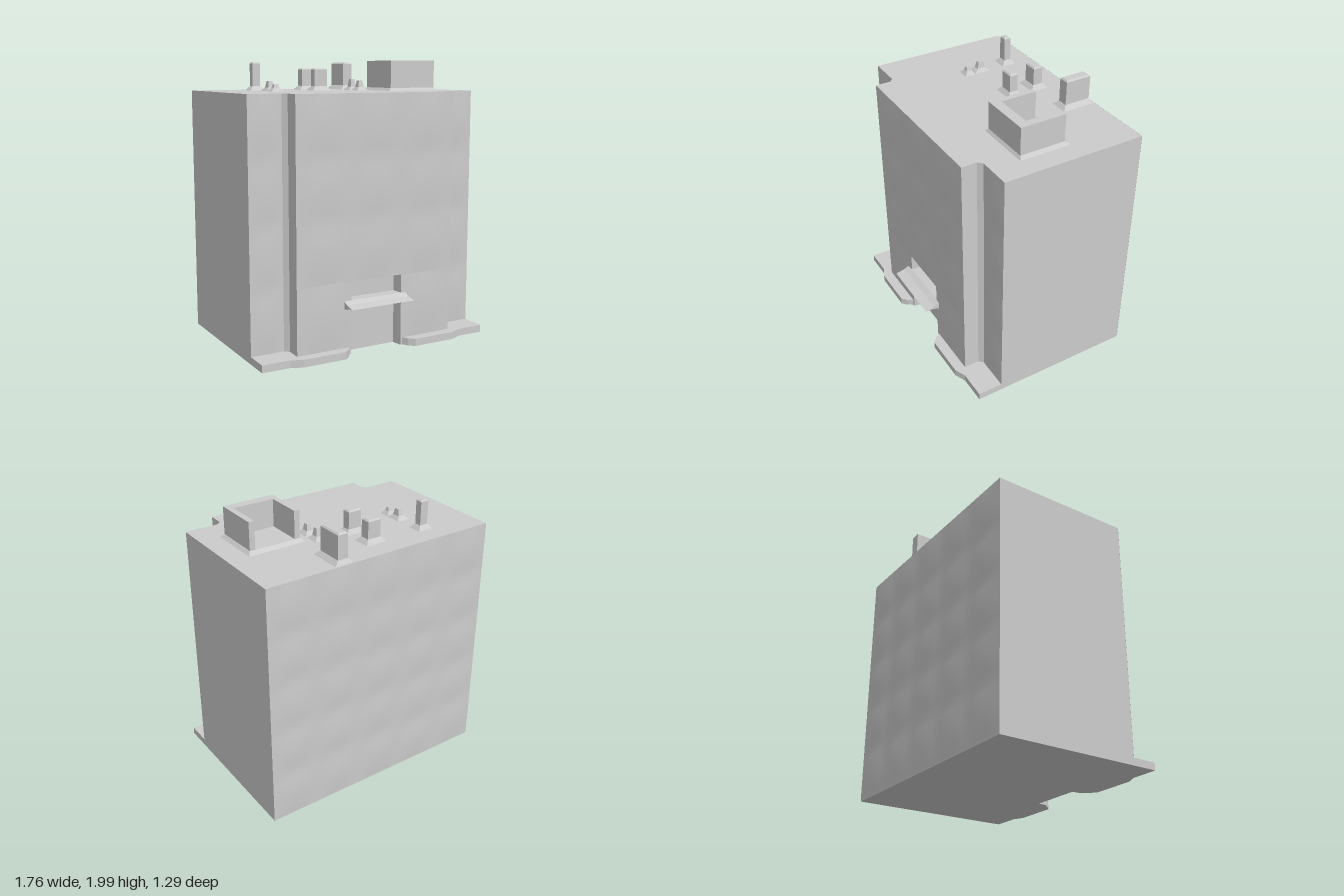
import * as THREE from 'three';

const ROOF = 1.78;

export function createModel() {
  const model = new THREE.Group();
  const grey = new THREE.MeshStandardMaterial({ color: 0xcccccc, side: THREE.DoubleSide });

  const add = (name, geometry, parent = model) => {
    const mesh = new THREE.Mesh(geometry, grey);
    mesh.name = name;
    parent.add(mesh);
    return mesh;
  };

  // Vertical prism from an [x, z] footprint
  const prism = (points, y0, y1) => {
    const shape = new THREE.Shape(points.map(([x, z]) => new THREE.Vector2(x, -z)));
    return new THREE.ExtrudeGeometry(shape, { depth: y1 - y0, bevelEnabled: false })
      .rotateX(-Math.PI / 2).translate(0, y0, 0);
  };

  // Flat-sided loft through rectangles [y, x0, x1, z0, z1], capped on top
  const loft = (sections) => {
    const pos = [];
    const rings = sections.map(([y, x0, x1, z0, z1]) =>
      [[x0, y, z1], [x1, y, z1], [x1, y, z0], [x0, y, z0]]);
    const quad = (a, b, c, d) => pos.push(...a, ...b, ...c, ...a, ...c, ...d);
    for (let i = 0; i < rings.length - 1; i++) {
      for (let j = 0; j < 4; j++) {
        const k = (j + 1) % 4;
        quad(rings[i][j], rings[i][k], rings[i + 1][k], rings[i + 1][j]);
      }
    }
    quad(...rings[rings.length - 1]);
    const g = new THREE.BufferGeometry();
    g.setAttribute('position', new THREE.Float32BufferAttribute(pos, 3));
    g.computeVertexNormals();
    return g;
  };

  // Main block, with a shallow doorway in the lower part
  const back = [[0.88, -0.638], [-0.88, -0.638]];
  const leftFront = [[-0.88, 0.39], [-0.64, 0.39], [-0.61, 0.42], [-0.61, 0.53]];
  const rightFront = leftFront.map(([x, z]) => [-x, z]).reverse();
  const doorway = [[-0.2, 0.53], [-0.19, 0.45], [0.19, 0.45], [0.2, 0.53]];
  add('lowerWalls', prism([...leftFront, ...doorway, ...rightFront, ...back], 0.01, 0.52));
  add('upperWalls', prism([...leftFront, ...rightFront, ...back], 0.52, ROOF));

  // Softly pillowed wall panels
  const panels = new THREE.Group();
  panels.name = 'wallPanels';
  model.add(panels);
  const pillow = (x0, x1, y0, y1, z, cols, rows, dir) => {
    const g = new THREE.PlaneGeometry(x1 - x0, y1 - y0, cols * 6, rows * 6);
    const p = g.attributes.position;
    for (let i = 0; i < p.count; i++) {
      const u = p.getX(i) / (x1 - x0) + 0.5;
      const v = p.getY(i) / (y1 - y0) + 0.5;
      const bulge = Math.abs(Math.sin(u * cols * Math.PI) * Math.sin(v * rows * Math.PI));
      p.setZ(i, 0.001 + 0.008 * bulge);
    }
    g.computeVertexNormals();
    if (dir < 0) g.rotateY(Math.PI);
    add('wallPanel', g.translate((x0 + x1) / 2, (y0 + y1) / 2, z), panels);
  };
  pillow(-0.88, 0.88, 0.02, ROOF, -0.638, 5, 5, -1);
  pillow(-0.6, 0.6, 0.52, ROOF, 0.53, 3, 3, 1);
  for (const s of [-1, 1]) {
    pillow(Math.min(s * 0.2, s * 0.6), Math.max(s * 0.2, s * 0.6), 0.06, 0.52, 0.53, 1, 1, 1);
    pillow(Math.min(s * 0.65, s * 0.88), Math.max(s * 0.65, s * 0.88), 0.06, ROOF, 0.39, 1, 4, 1);
  }

  // Stepped pavement slabs either side of the door
  for (const s of [-1, 1]) {
    const slab = [[0.88, 0.38], [0.88, 0.57], [0.68, 0.57], [0.6, 0.605],
      [0.28, 0.605], [0.24, 0.57], [0.21, 0.52], [0.21, 0.38]];
    const pts = slab.map(([x, z]) => [s * x, z]);
    add(s > 0 ? 'leftPavement' : 'rightPavement', prism(pts, 0.01, 0.062));
  }

  // Door canopy: a wedge thinning toward its front edge
  const wedge = new THREE.Shape([[0.45, 0.325], [0.53, 0.33], [0.56, 0.345], [0.64, 0.355],
    [0.57, 0.37], [0.53, 0.39], [0.45, 0.39]].map(([z, y]) => new THREE.Vector2(-z, y)));
  const canopy = new THREE.ExtrudeGeometry(wedge, { depth: 0.49, bevelEnabled: false });
  add('doorCanopy', canopy.rotateY(Math.PI / 2).translate(-0.255, 0, 0));

  // Rooftop enclosure: three walls, open to the back, on a flared foot
  const enclosure = new THREE.Group();
  enclosure.name = 'roofEnclosure';
  model.add(enclosure);
  add('enclosureFoot', loft([[ROOF, 0.31, 0.73, -0.195, 0.185], [1.8, 0.33, 0.71, -0.165, 0.17]]), enclosure);
  add('enclosureWalls', prism([[0.33, -0.16], [0.33, 0.17], [0.705, 0.17], [0.705, -0.16],
    [0.665, -0.16], [0.665, 0.1], [0.37, 0.1], [0.37, -0.16]], 1.79, 1.995), enclosure);

  // Chimneys and vents with flared feet: [name, x0, x1, z0, z1, top, flare]
  const stacks = [
    ['largeChimney', 0.27, 0.345, -0.61, -0.42, 1.985, 0.03],
    ['thinChimney', -0.49, -0.43, -0.47, -0.42, 1.985, 0.028],
    ['roofVent', -0.1, 0.0, -0.46, -0.39, 1.94, 0.03],
    ['roofVent', -0.095, 0.005, -0.255, -0.195, 1.94, 0.025],
  ];
  for (const [name, x0, x1, z0, z1, top, f] of stacks) {
    add(name, loft([
      [ROOF, x0 - f, x1 + f, Math.max(z0 - f, -0.63), z1 + f],
      [ROOF + 0.03, x0, x1, z0, z1],
      [top - 0.01, x0, x1, z0, z1],
      [top, x0 + 0.01, x1 - 0.01, z0 + 0.01, z1 - 0.01],
    ]));
  }

  // Small pointed roof caps: [x, z, half depth, top]
  for (const [x, z, d, top] of [[-0.445, -0.22, 0.06, 1.85], [-0.445, -0.12, 0.04, 1.83],
    [0.22, -0.2, 0.05, 1.86], [0.22, -0.085, 0.05, 1.85]]) {
    add('roofCap', loft([
      [ROOF, x - 0.045, x + 0.045, z - d, z + d],
      [ROOF + 0.025, x - 0.022, x + 0.022, z - d * 0.5, z + d * 0.5],
      [top, x - 0.015, x + 0.015, z - d * 0.3, z + d * 0.3],
    ]));
  }
  return model;
}
